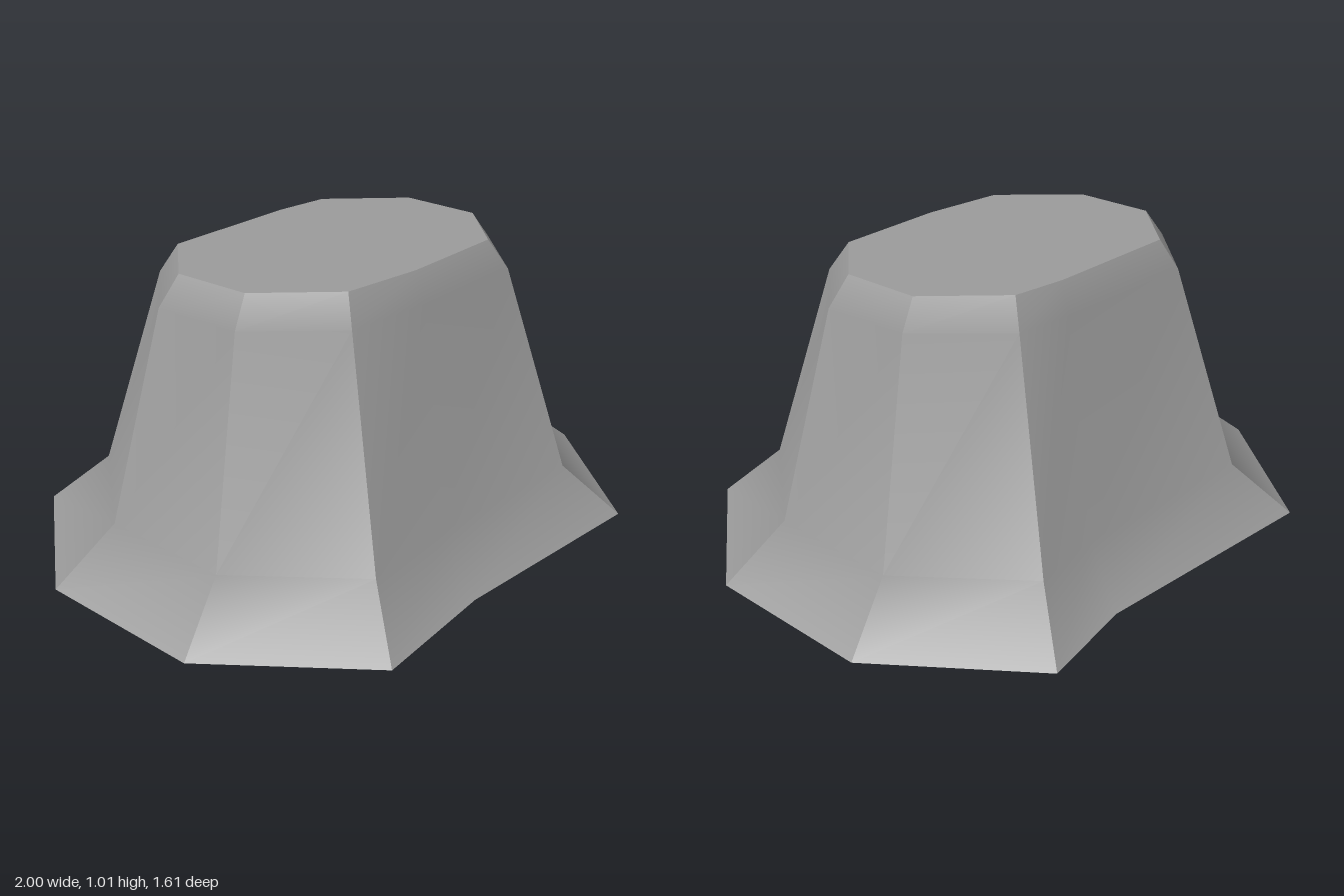
import * as THREE from 'three';

// Horizontal outlines of the block, from the ground up: height, then [x, z] corners
const rings = [
  { y: 0, p: [[-0.63, -0.81], [0.25, -0.715], [0.6, -0.765], [0.985, -0.265], [0.997, 0.335], [0.625, 0.803], [-0.14, 0.73], [-0.6, 0.757], [-0.99, 0.26], [-1, -0.34]] },
  { y: 0.185, p: [[-0.505, -0.63], [0.2, -0.56], [0.465, -0.59], [0.78, -0.2], [0.788, 0.265], [0.505, 0.63], [-0.11, 0.575], [-0.47, 0.583], [-0.78, 0.195], [-0.79, -0.27]] },
  { y: 0.915, p: [[-0.39, -0.428], [0.13, -0.39], [0.325, -0.36], [0.565, -0.1], [0.595, 0.2], [0.39, 0.428], [-0.03, 0.405], [-0.33, 0.36], [-0.57, 0.1], [-0.6, -0.205]] },
  { y: 1.015, p: [[-0.355, -0.373], [0.11, -0.345], [0.29, -0.312], [0.505, -0.088], [0.525, 0.178], [0.35, 0.37], [-0.02, 0.357], [-0.29, 0.31], [-0.505, 0.082], [-0.53, -0.182]] },
];

// Walls that meet at sharp vertical edges; the long walls have a soft bend
const walls = [
  ['backWall', [0, 1, 2]], ['backLeftWall', [2, 3]], ['leftWall', [3, 4]], ['frontLeftWall', [4, 5]],
  ['frontWall', [5, 6, 7]], ['frontRightWall', [7, 8]], ['rightWall', [8, 9]], ['backRightWall', [9, 0]],
];

// One wall from ground to rim, smooth over its flared foot and bevelled rim
function wallGeometry(columns) {
  const position = [], index = [], n = columns.length;
  for (const { y, p } of rings) for (const c of columns) position.push(p[c][0], y, p[c][1]);
  for (let r = 0; r < rings.length - 1; r++) {
    for (let i = 0; i < n - 1; i++) {
      const a = r * n + i, b = a + 1;
      index.push(b, a, a + n, b, a + n, b + n);
    }
  }
  const g = new THREE.BufferGeometry();
  g.setAttribute('position', new THREE.Float32BufferAttribute(position, 3));
  g.setIndex(index);
  g.computeVertexNormals();
  return g;
}

// Flat cap facing up (side 1) or down (side -1)
function capGeometry({ y, p }, side) {
  const shape = new THREE.Shape(p.map(([x, z]) => new THREE.Vector2(x, -side * z)));
  return new THREE.ShapeGeometry(shape).rotateX(-side * Math.PI / 2).translate(0, y, 0);
}

export function createModel() {
  const group = new THREE.Group();
  group.name = 'flaredBlock';
  const grey = new THREE.MeshStandardMaterial({ color: 0x999999 });
  grey.name = 'grey';

  const add = (name, geometry) => {
    const mesh = new THREE.Mesh(geometry, grey);
    mesh.name = name;
    group.add(mesh);
  };

  for (const [name, columns] of walls) add(name, wallGeometry(columns));
  add('topFace', capGeometry(rings[3], 1));
  add('underside', capGeometry(rings[0], -1));
  return group;
}
